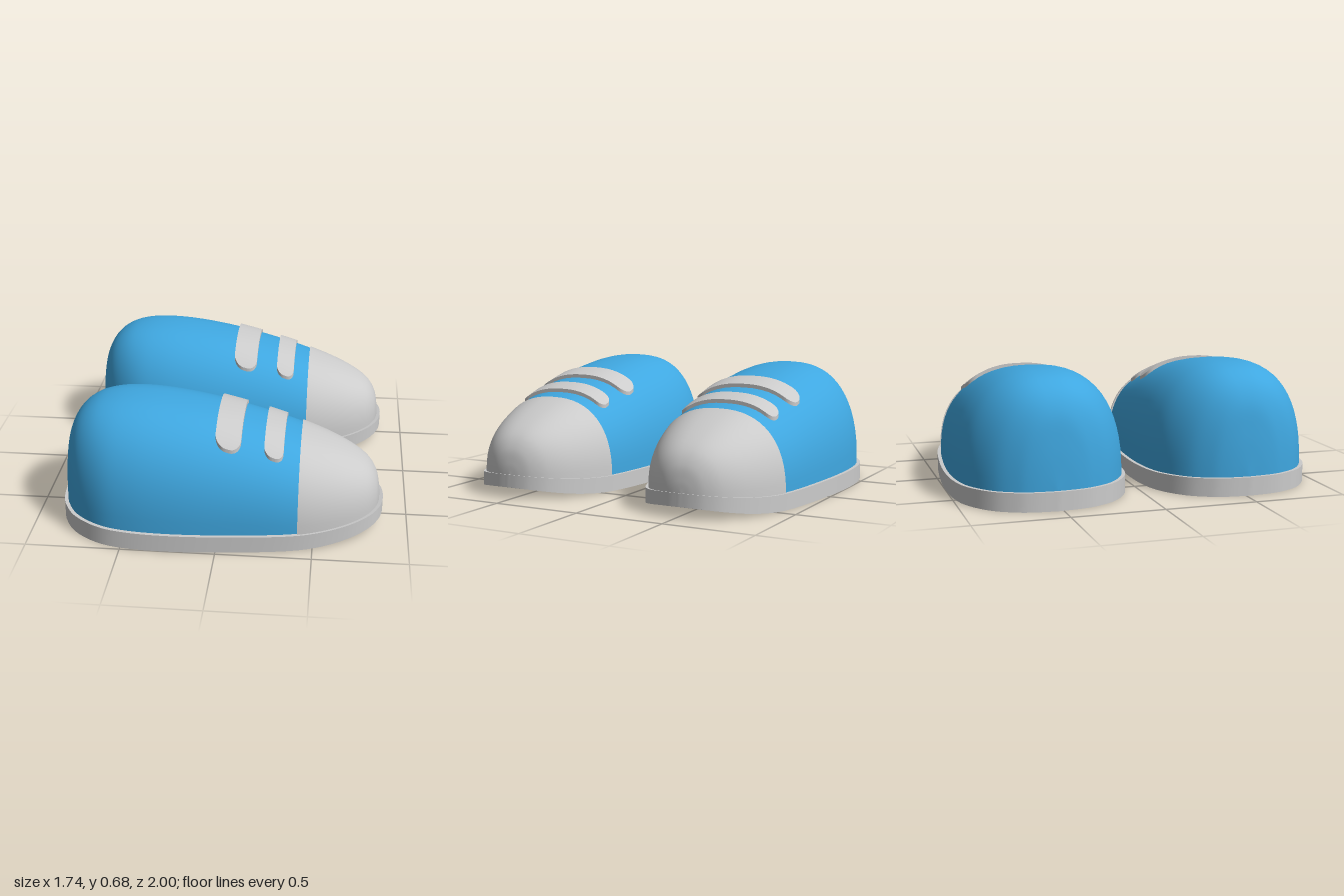
import * as THREE from 'three';
import { mergeVertices, mergeGeometries } from 'three/addons/utils/BufferGeometryUtils.js';

const V = (x, y, z) => new THREE.Vector3(x, y, z);
const SEAM = 0.42; // where the toe cap meets the upper

// Stations along the shoe: x, top height, half width
const spine = new THREE.CatmullRomCurve3([
  [-0.853, 0.1, 0], [-0.84, 0.335, 0.125], [-0.816, 0.49, 0.205], [-0.76, 0.59, 0.3],
  [-0.68, 0.647, 0.37], [-0.585, 0.672, 0.42], [-0.46, 0.679, 0.447], [-0.28, 0.665, 0.457],
  [0, 0.615, 0.442], [0.42, 0.497, 0.38], [0.66, 0.405, 0.285], [0.775, 0.335, 0.2],
  [0.825, 0.265, 0.125], [0.843, 0.19, 0.06], [0.848, 0.128, 0],
].map((p) => V(...p))).getPoints(84);

// Station at any x
function stationAt(x) {
  const i = Math.max(1, spine.findIndex((p) => p.x >= x));
  const a = spine[i - 1], b = spine[i];
  return a.clone().lerp(b, (x - a.x) / (b.x - a.x));
}

// The sole curls up at the toe
const curl = (x) => Math.max(0, (x - SEAM) / 0.445) ** 2;
const soleTop = (x) => 0.1 - 0.012 * Math.min(1, (x + 0.87) / 1.29) + 0.042 * curl(x);
const soleBottom = (x) => 0.06 * curl(x);

// Smooth surface through rows of points
function grid(rows) {
  const n = rows[0].length, index = [];
  for (let i = 0; i < rows.length - 1; i++) {
    for (let j = 0; j < n - 1; j++) {
      const a = i * n + j, b = a + n;
      index.push(a, b, a + 1, b, b + 1, a + 1);
    }
  }
  let geo = new THREE.BufferGeometry().setFromPoints(rows.flat());
  geo.setIndex(index);
  geo = mergeVertices(geo, 1e-4);
  geo.computeVertexNormals();
  return geo;
}

// Superellipse arch across the shoe
const POWER = 2.4;
function arch(s, grow = 0) {
  const base = soleTop(s.x) - 0.01, row = [];
  for (let j = 0; j <= 32; j++) {
    const t = (j / 32) * Math.PI, c = Math.cos(t);
    const z = Math.sign(c) * Math.abs(c) ** (2 / POWER) * (s.z + grow);
    const y = base + Math.abs(Math.sin(t)) ** (2 / POWER) * (s.y + grow - base);
    row.push(V(s.x, y, z));
  }
  return row;
}

function surfaceY(x, z) {
  const s = stationAt(x), base = soleTop(x) - 0.01;
  const k = Math.min(1, Math.abs(z) / s.z);
  return base + (s.y - base) * (1 - k ** POWER) ** (1 / POWER);
}

// Sole outline pushed outward by d, at height given by a function of x
const side = spine.map((p) => [p.x, p.z]);
const outline = [...side, ...side.slice(1, -1).reverse().map(([x, z]) => [x, -z])];
function ring(d, height) {
  const n = outline.length, pts = outline.map(([x, z], i) => {
    const a = outline[(i + n - 1) % n], b = outline[(i + 1) % n];
    const dx = b[0] - a[0], dz = b[1] - a[1], l = Math.hypot(dx, dz);
    const px = x - (dz / l) * d;
    return V(px, height(px), z + (dx / l) * d);
  });
  return [...pts, pts[0].clone()];
}

function soleGeometry() {
  const recess = (x) => soleBottom(x) + 0.025;
  const rings = [
    ring(-0.01, soleTop), ring(0.02, soleTop), ring(0.02, soleBottom),
    ring(0.004, soleBottom), ring(0.004, recess),
  ];
  const bands = rings.slice(1).map((r, i) => grid([rings[i], r]));
  // recessed underside
  const inner = rings[4], n = outline.length;
  const under = side.map((_, i) => [inner[(n - i) % n].clone(), inner[i].clone()]);
  return mergeGeometries([...bands, grid(under)]);
}

function toeCapGeometry() {
  const seam = stationAt(SEAM), grow = 0.009;
  const stations = [seam, ...spine.filter((p) => p.x > SEAM + 0.005)];
  const rows = stations.map((s) => arch(s, grow * (1 - curl(s.x) * 0.9)));
  return mergeGeometries([grid(rows), grid([arch(seam, -0.01), arch(seam, grow)])]);
}

// Strap with rounded ends draped over the upper
function strapGeometry(cx, halfW, halfL) {
  const geo = new THREE.BoxGeometry(2, 2, 2, 6, 1, 40), p = geo.attributes.position;
  const r = halfW * 0.85;
  for (let i = 0; i < p.count; i++) {
    const z = halfL * Math.sin(p.getZ(i) * Math.PI / 2);
    const e = Math.max(0, Math.abs(z) - halfL + r);
    const w = halfW - r + Math.sqrt(Math.max(0, r * r - e * e));
    const x = cx + p.getX(i) * w;
    p.setXYZ(i, x, surfaceY(x, z) + (p.getY(i) > 0 ? 0.02 : -0.015), z);
  }
  geo.computeVertexNormals();
  return geo;
}

export function createModel() {
  const grey = new THREE.MeshStandardMaterial({ color: 0xcccccc, side: THREE.DoubleSide });
  const blue = new THREE.MeshStandardMaterial({ color: 0x3fa7e0, side: THREE.DoubleSide });
  const upperRows = [...spine.filter((p) => p.x < SEAM), stationAt(SEAM + 0.01)].map((s) => arch(s));
  const parts = [
    ['sole', soleGeometry(), grey],
    ['upper', grid(upperRows), blue],
    ['toeCap', toeCapGeometry(), grey],
    ['rearStrap', strapGeometry(0.05, 0.066, 0.3), grey],
    ['frontStrap', strapGeometry(0.285, 0.05, 0.278), grey],
  ];

  // Two identical shoes side by side
  const model = new THREE.Group();
  model.name = 'pairOfShoes';
  for (const [name, z] of [['nearShoe', 0.523], ['farShoe', -0.523]]) {
    const shoe = new THREE.Group();
    shoe.name = name;
    for (const [part, geo, mat] of parts) {
      const mesh = new THREE.Mesh(geo, mat);
      mesh.name = part;
      shoe.add(mesh);
    }
    shoe.position.z = z;
    model.add(shoe);
  }
  return model;
}
